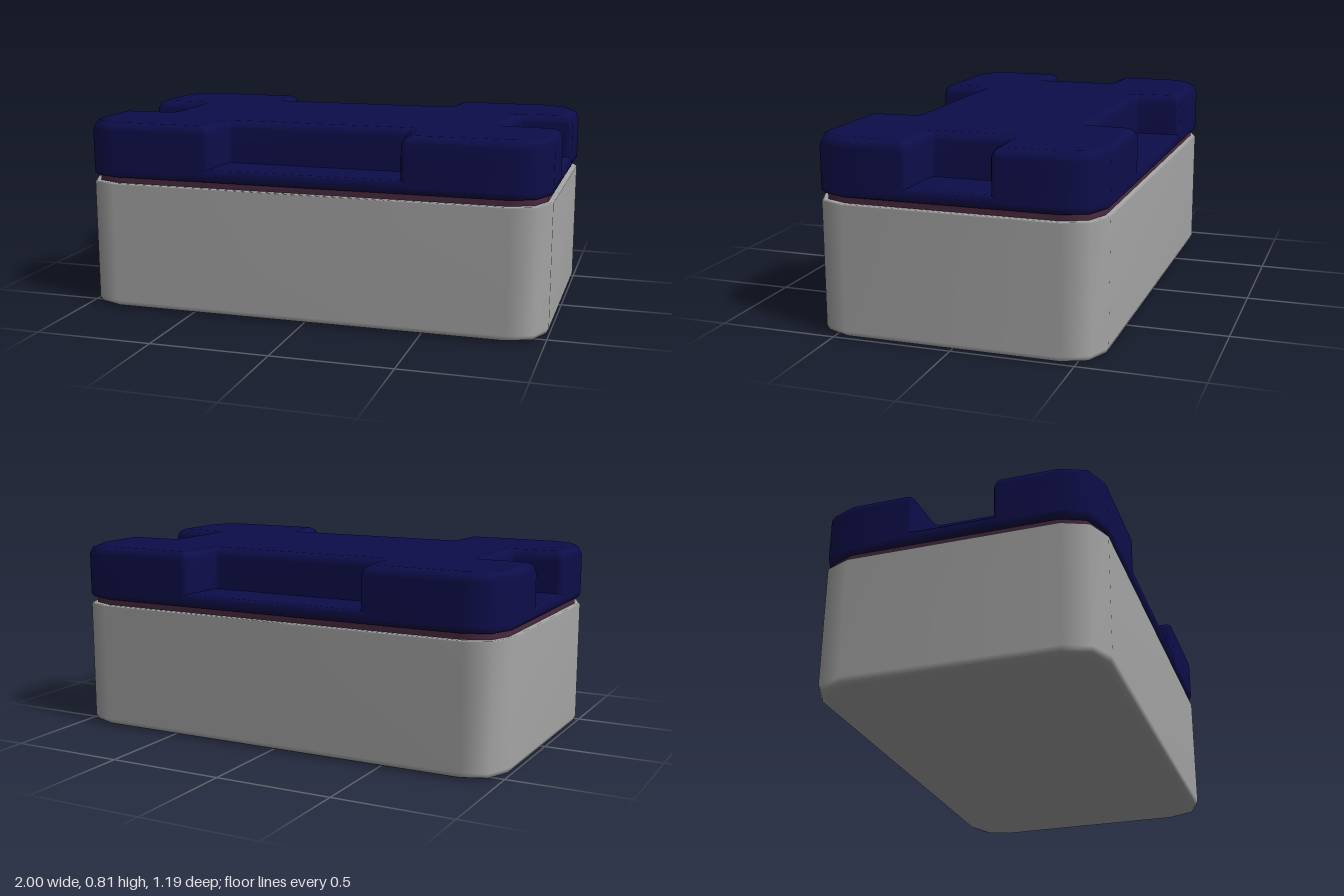
import * as THREE from 'three';

const W = 1, D = 0.593, R = 0.15;

const mat = (name, color) => {
  const m = new THREE.MeshStandardMaterial({ color });
  m.name = name;
  return m;
};

// Mirror one quadrant of [x, z, radius] corners into a full loop
function mirrorQuadrant(q) {
  const flip = (sx, sz) => q.map(([x, z, r]) => [x * sx, z * sz, r]);
  return [...q, ...flip(-1, 1).reverse(), ...flip(-1, -1), ...flip(1, -1).reverse()];
}

// Replace each corner with a two-segment rounded corner
function roundCorners(corners) {
  const n = corners.length, out = [];
  corners.forEach(([x, z, r], i) => {
    const p = new THREE.Vector2(x, z);
    const toward = (c) => new THREE.Vector2(c[0], c[1]).sub(p).normalize().multiplyScalar(r);
    const a = toward(corners[(i + n - 1) % n]), b = toward(corners[(i + 1) % n]);
    out.push(p.clone().add(a), p.clone().addScaledVector(a, 0.293).addScaledVector(b, 0.293), p.clone().add(b));
  });
  return out;
}

// Plain rounded rectangle, shrunk by an inset
const plainOutline = (i) => roundCorners(mirrorQuadrant([[W - i, D - i, R - i * 0.5]]));

// Rounded rectangle with a grip notch in the middle of each side
const notchedOutline = (i) => {
  const convex = Math.max(0.025 - i * 0.5, 0.006), concave = 0.02 + i * 0.5;
  return roundCorners(mirrorQuadrant([
    [0.765 - i, 0.16 + i, concave],
    [W - i, 0.168 + i, convex],
    [W - i, D - i, R - i * 0.5],
    [0.41 + i, D - i, convex],
    [0.397 + i, 0.388 - i, concave],
  ]));
};

// Skin a stack of outlines, levels being [y, inset]
function loft(outline, levels, capBottom, capTop) {
  const rings = levels.map(([, inset]) => outline(inset));
  const n = rings[0].length, pos = [], index = [];
  rings.forEach((ring, k) => ring.forEach((p) => pos.push(p.x, levels[k][0], p.y)));
  for (let k = 0; k < rings.length - 1; k++) {
    for (let j = 0; j < n; j++) {
      const a = k * n + j, b = k * n + (j + 1) % n;
      index.push(a, a + n, b, b, a + n, b + n);
    }
  }
  const cap = (k, up) => THREE.ShapeUtils.triangulateShape(rings[k], []).forEach(([a, b, c]) => {
    const o = k * n;
    index.push(o + a, o + (up ? c : b), o + (up ? b : c));
  });
  if (capBottom) cap(0, false);
  if (capTop) cap(rings.length - 1, true);
  const g = new THREE.BufferGeometry();
  g.setAttribute('position', new THREE.Float32BufferAttribute(pos, 3));
  g.setIndex(index);
  g.computeVertexNormals();
  return g;
}

export function createModel() {
  const group = new THREE.Group();
  group.name = 'storageBox';
  const grey = mat('grey plastic', 0xa6a6a6);
  const navy = mat('navy plastic', 0x0d0d4a);
  const plum = mat('plum seal', 0x4a2840);
  const add = (name, geometry, material) => {
    const mesh = new THREE.Mesh(geometry, material);
    mesh.name = name;
    group.add(mesh);
  };

  // Tub with a softly rounded base
  add('tub', loft(plainOutline,
    [[0, 0.03], [0.009, 0.009], [0.03, 0], [0.545, 0], [0.55, 0.005]], true, true), grey);

  // Recessed seal between tub and lid
  add('seal', loft(plainOutline, [[0.54, 0.022], [0.59, 0.022]], false, false), plum);

  // Lid rim, whose top forms the notch floors
  add('lidRim', loft(plainOutline,
    [[0.576, 0.012], [0.588, 0.001], [0.62, 0.001], [0.63, 0.012]], true, true), navy);

  // Raised lid with four grip notches and a rounded top edge
  add('lidTop', loft(notchedOutline,
    [[0.6, 0], [0.772, 0], [0.799, 0.011], [0.81, 0.036]], false, true), navy);

  return group;
}
